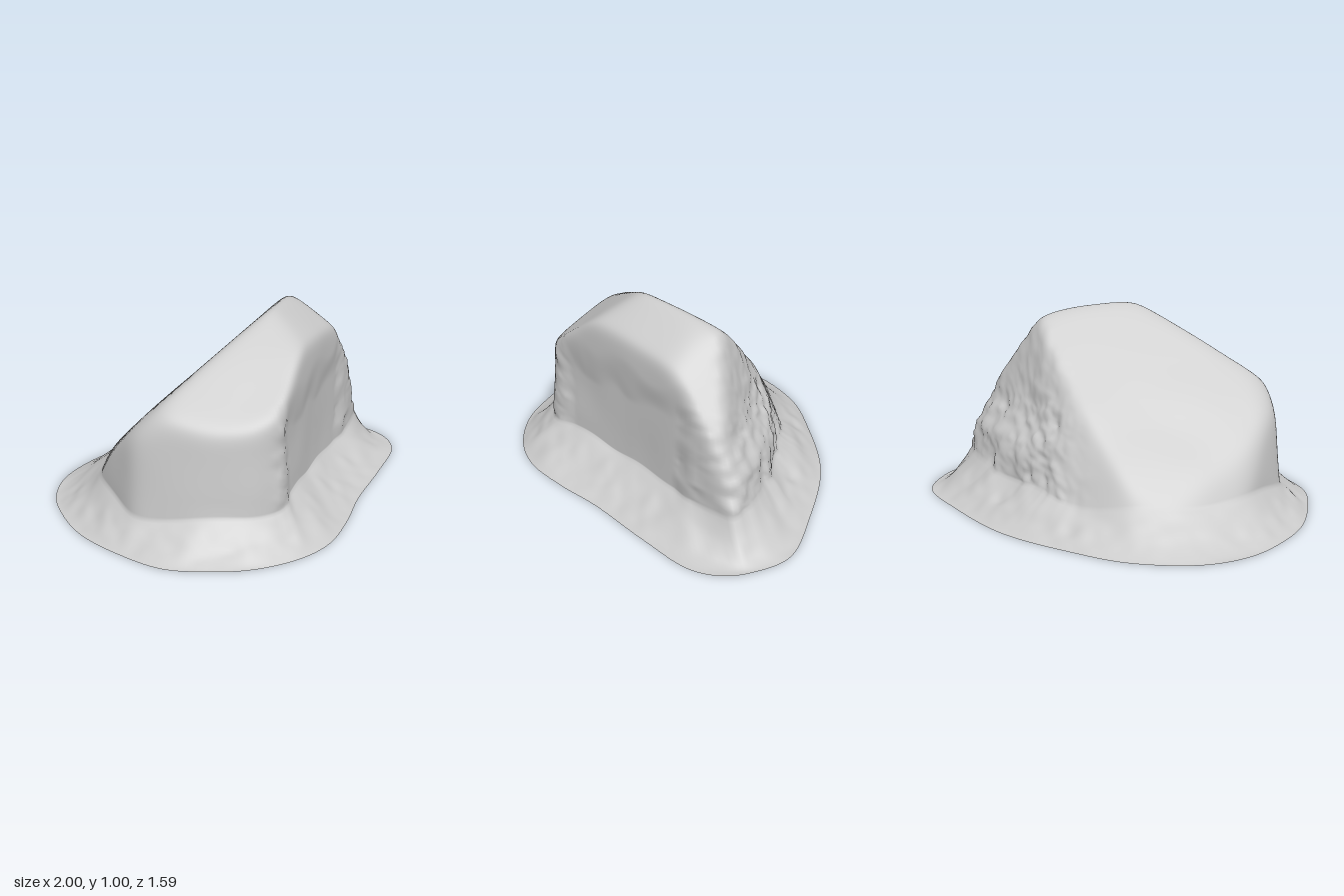
import * as THREE from 'three';

const { smoothstep, lerp } = THREE.MathUtils;
const COLS = 230, ROCK_ROWS = 85, SKIRT_ROWS = 18;
const CENTRE = new THREE.Vector3(-0.05, 0.18, 0);

// Rock faces as planes [nx, ny, nz, d]; the rock is the inside of them all
const BACK_RIGHT = [1.565, 1, -3.67, 2.36];
const FRONT_WALL = [0.63, 0.02, 0.777, 0.364];
const FACES = [
  BACK_RIGHT, FRONT_WALL,
  [-0.62, 1, -0.76, 0.9],     // long slope at the back
  [-1, 0.6, -0.7, 1.02],      // steeper foot of the long slope
  [-0.5, 0.5, -1, 0.87],
  [0, 0.42, -1, 0.66],
  [-0.4, 1, 0.65, 1.105],     // upper front slope
  [0.53, 1, 0.53, 1.115],     // bevel over the front wall
  [0.3, 1, 0, 1.08],          // crown falling to the right end
  [1.3, 1, 0, 1.46],
  [3, 1, 0, 2.65],
  [-1, 0.08, 0, 0.81],        // steep sides
  [-1, 0.76, 0, 1.16],
  [-0.75, 0.1, 0.66, 0.77],
  [-0.45, 0.06, 0.89, 0.705],
  [0, 0.03, 1, 0.615],
];

// Outline of the skirt on the ground, x and z
const OUTLINE = [
  [1, -0.15], [0.94, 0], [0.7, 0.2], [0.4, 0.42], [0.2, 0.6], [0, 0.74], [-0.2, 0.79],
  [-0.45, 0.76], [-0.65, 0.66], [-0.8, 0.54], [-0.92, 0.3], [-0.99, 0.05], [-0.99, -0.17],
  [-0.94, -0.4], [-0.8, -0.6], [-0.5, -0.76], [-0.2, -0.795], [0.2, -0.78], [0.6, -0.64],
  [0.9, -0.48], [0.985, -0.3],
];

// Smooth value noise in -1..1
function hash(x, y, z) {
  const s = Math.sin(x * 127.1 + y * 311.7 + z * 74.7) * 43758.5453;
  return (s - Math.floor(s)) * 2 - 1;
}
function noise(p, f) {
  const q = [p.x * f, p.y * f, p.z * f], c = q.map(Math.floor);
  const [u, v, w] = q.map((a, i) => smoothstep(a - c[i], 0, 1));
  const edge = (j, k) => lerp(hash(c[0], c[1] + j, c[2] + k), hash(c[0] + 1, c[1] + j, c[2] + k), u);
  return lerp(lerp(edge(0, 0), edge(1, 0), v), lerp(edge(0, 1), edge(1, 1), v), w);
}

// Distance from the centre to one face along a direction
function reach([nx, ny, nz, d], dir) {
  const n = new THREE.Vector3(nx, ny, nz), slope = n.dot(dir);
  return slope > 1e-4 ? (d - n.dot(CENTRE)) / slope : 1e4;
}

// Rock surface point along a direction: softened faces, hollow wall, rough breaks
function rockPoint(dir) {
  const k = 34;
  let r = FACES.reduce((sum, f) => sum + Math.pow(reach(f, dir), -k), 0) ** (-1 / k);
  const near = (face) => Math.exp(-Math.max(0, reach(face, dir) / r - 1.03) * 20);
  const p = dir.clone().multiplyScalar(r).add(CENTRE);
  const along = Math.abs(p.x * 0.777 - p.z * 0.63);
  const wall = near(FRONT_WALL), broken = near(BACK_RIGHT);
  const hollow = wall * (1 - smoothstep(along + noise(p, 9) * 0.04, 0.4, 0.5))
    * (1 - smoothstep(p.y + noise(p, 7) * 0.06, 0.55, 0.74));
  const rim = wall * smoothstep(along, 0.38, 0.46) * (1 - smoothstep(p.y, 0.65, 0.8));
  const ledge = broken * (1 - smoothstep(p.y, 0.3, 0.5))
    * smoothstep(p.x, 0, 0.45) * (1 - smoothstep(p.x, 0.65, 0.8));
  const rough = Math.min(1, broken * (1 - 0.6 * smoothstep(p.y, 0.45, 0.65)) + 0.6 * rim);
  r += noise(p, 4) * 0.008 - hollow * 0.03 + ledge * 0.06;
  r += rough * (noise(p, 8) * 0.014 + noise(p, 18) * 0.014 + noise(p, 38) * 0.006);
  return dir.clone().multiplyScalar(r).add(CENTRE);
}

// Ground outline point at an angle around the centre
const curve = new THREE.CatmullRomCurve3(
  OUTLINE.map(([x, z]) => new THREE.Vector3(x, 0, z)), true).getPoints(500);
function outlinePoint(angle) {
  const off = (p) => {
    const a = Math.atan2(p.z - CENTRE.z, p.x - CENTRE.x) - angle;
    return Math.atan2(Math.sin(a), Math.cos(a));
  };
  for (let i = 0; i < curve.length - 1; i++) {
    const a = off(curve[i]), b = off(curve[i + 1]);
    if (a <= 0 && b > 0 && b - a < 1) return curve[i].clone().lerp(curve[i + 1], -a / (b - a));
  }
  return curve[0].clone();
}

function direction(phi, theta) {
  return new THREE.Vector3(
    Math.sin(phi) * Math.cos(theta), Math.cos(phi), Math.sin(phi) * Math.sin(theta));
}

// Rows of points joined into a surface; a single-point first row makes a cap
function skin(rows) {
  const points = rows.flat(), index = [];
  let start = 0;
  for (let i = 0; i < rows.length - 1; i++) {
    const n = rows[i].length, next = start + n;
    for (let j = 0; j < COLS; j++) {
      const j2 = (j + 1) % COLS;
      if (n > 1) index.push(start + j, start + j2, next + j);
      index.push(n > 1 ? start + j2 : start, next + j2, next + j);
    }
    start = next;
  }
  const geometry = new THREE.BufferGeometry().setFromPoints(points);
  geometry.setIndex(index);
  geometry.computeVertexNormals();
  return geometry;
}

export function createModel() {
  const angles = Array.from({ length: COLS }, (_, j) => (j / COLS) * Math.PI * 2);
  const rows = [[rockPoint(new THREE.Vector3(0, 1, 0))]];

  // Rock from its crown down to its foot, which dips and rises a little
  for (let i = 1; i <= ROCK_ROWS; i++) {
    rows.push(angles.map((a) => {
      const low = Math.PI / 2 + 0.02 + 0.025 * Math.sin(3 * a) + 0.02 * Math.sin(7 * a + 1);
      return rockPoint(direction((i / ROCK_ROWS) * low, a));
    }));
  }

  // Earth skirt spreading from the foot to the ground outline, hollower at the ends
  const foot = rows[ROCK_ROWS], ground = angles.map(outlinePoint);
  for (let i = 1; i <= SKIRT_ROWS; i++) {
    const t = i / SKIRT_ROWS;
    rows.push(foot.map((f, j) => {
      const p = f.clone().lerp(ground[j], t);
      p.y = f.y * Math.pow(1 - t, 1.1 + 0.4 * Math.cos(angles[j]) ** 2);
      p.y = Math.max(0, p.y + (noise(p, 6) * 0.06 + noise(p, 14) * 0.04) * t * (1 - t));
      return p;
    }));
  }

  const material = new THREE.MeshStandardMaterial({ color: 0xcccccc, side: THREE.DoubleSide });
  const rock = new THREE.Mesh(skin(rows), material);
  rock.name = 'boulderWithEarthSkirt';
  const group = new THREE.Group();
  group.name = 'boulder';
  group.add(rock);
  return group;
}
